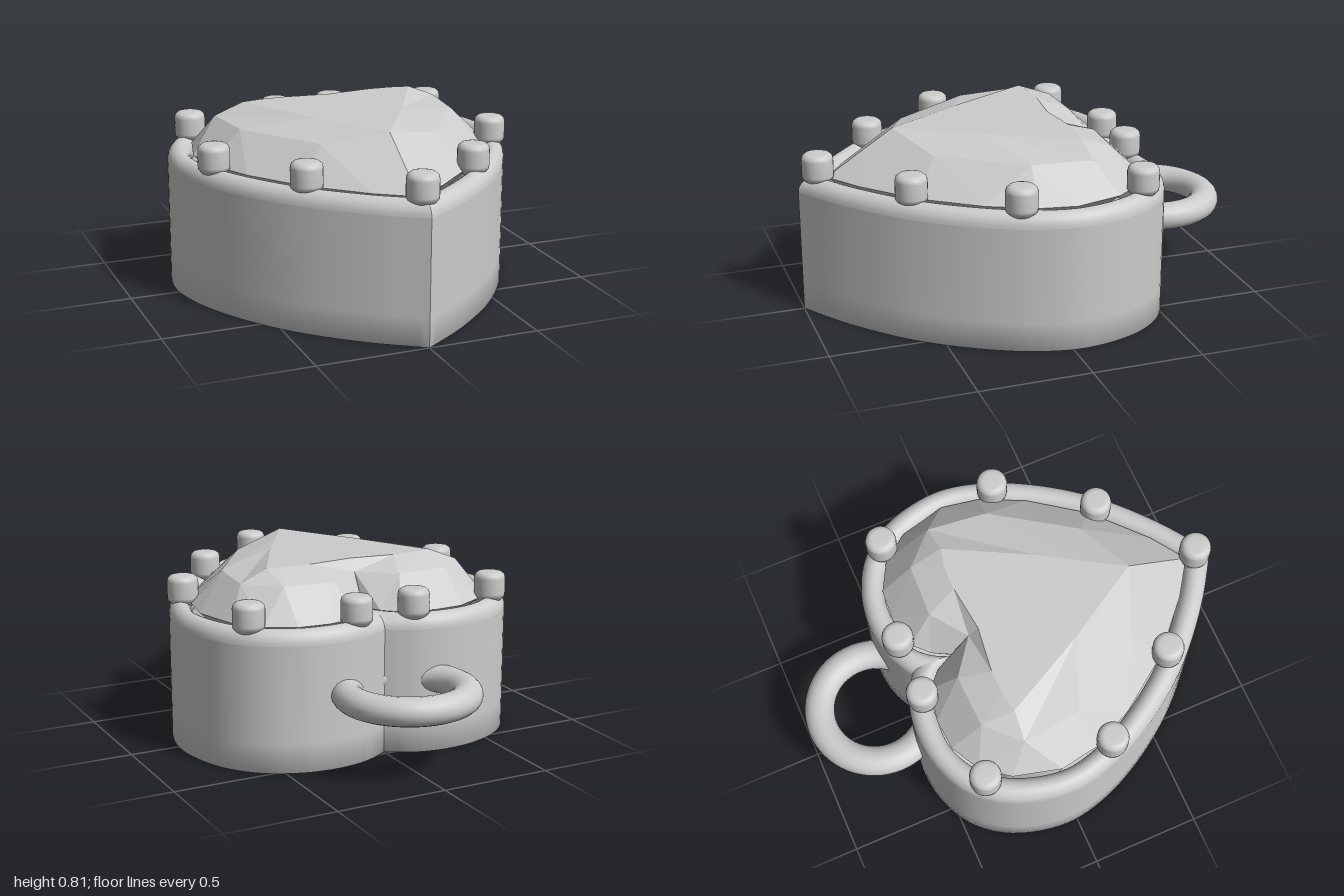
import * as THREE from 'three';
import { mergeVertices } from 'three/addons/utils/BufferGeometryUtils.js';

// Half hearts as [x, z], from the cleft round the lobe to the tip
const OUTER = [[0, -0.48], [0.06, -0.515], [0.14, -0.55], [0.27, -0.57], [0.43, -0.55], [0.60, -0.465], [0.72, -0.31],
  [0.78, -0.06], [0.745, 0.15], [0.64, 0.38], [0.46, 0.63], [0.22, 0.85], [0, 1]];
const INNER = [[0, -0.28], [0.04, -0.36], [0.11, -0.43], [0.26, -0.46], [0.40, -0.45], [0.53, -0.38], [0.62, -0.26],
  [0.675, -0.05], [0.645, 0.12], [0.55, 0.32], [0.38, 0.555], [0.155, 0.76], [0, 0.865]];
const OPENING = [[0, -0.13], [0.08, -0.135], [0.16, -0.17], [0.27, -0.24], [0.38, -0.27], [0.46, -0.24], [0.51, -0.16],
  [0.54, -0.02], [0.515, 0.09], [0.435, 0.25], [0.29, 0.45], [0.1, 0.62], [0, 0.695]];
// Gem table and crown, half outlines as [x, z]
const TABLE = [[0, -0.155], [0.21, -0.18], [0.32, -0.178], [0.41, -0.16], [0.21, 0.22], [0.1, 0.4], [0, 0.57]];
const CROWN = [[0, -0.2], [0.16, -0.32], [0.40, -0.31], [0.54, -0.17], [0.51, 0.1], [0.27, 0.46], [0, 0.71]];

const STEPS = 72;

const [outerCurve, innerCurve, openingCurve] = [OUTER, INNER, OPENING].map((pts) =>
  new THREE.CatmullRomCurve3(pts.map(([x, z]) => new THREE.Vector3(x, 0, z))));

// Point on the heart at t: k = 0 outer wall, 1 inner edge of the rim, 2 opening underneath
function heartPoint(t, k, y) {
  const p = k <= 1
    ? outerCurve.getPoint(t).lerp(innerCurve.getPoint(t), k)
    : innerCurve.getPoint(t).lerp(openingCurve.getPoint(t), k - 1);
  p.x = Math.max(0, p.x);
  p.y = y;
  return p;
}

// Sweeps a profile of [inset, y] along one half of the heart
function sweepHalf(profile, side) {
  const pos = [], index = [], n = STEPS + 1;
  for (const [k, y] of profile) {
    for (let i = 0; i <= STEPS; i++) {
      const p = heartPoint(i / STEPS, k, y);
      pos.push(p.x * side, p.y, p.z);
    }
  }
  for (let j = 0; j < profile.length - 1; j++) {
    for (let i = 0; i < STEPS; i++) {
      const a = j * n + i, b = a + 1, c = a + n, d = c + 1;
      if (side > 0) index.push(a, c, b, b, c, d);
      else index.push(a, b, c, b, d, c);
    }
  }
  const geo = new THREE.BufferGeometry();
  geo.setAttribute('position', new THREE.Float32BufferAttribute(pos, 3));
  geo.setIndex(index);
  geo.computeVertexNormals();
  return geo;
}

// One half of the faceted stone: table, crown and pointed underside
function gemHalf(side) {
  const pos = [];
  const tri = (a, b, c) => {
    for (const p of side > 0 ? [a, b, c] : [a, c, b]) pos.push(p.x * side, p.y, p.z);
  };
  const at = (pts, y) => pts.map(([x, z]) => new THREE.Vector3(x, y, z));
  const table = at(TABLE, 0.81);
  const crown = at(CROWN, 0.757);
  crown[6].y = 0.72;
  const girdle = OUTER.map((_, i) => heartPoint(i / (OUTER.length - 1), 0.95, 0.615));
  const centre = new THREE.Vector3(0, 0.81, 0.1);
  const apex = new THREE.Vector3(0, 0.03, 0.14);
  for (let i = 0; i < 6; i++) {
    const g = girdle.slice(2 * i, 2 * i + 3);
    tri(centre, table[i + 1], table[i]);
    tri(table[i], table[i + 1], crown[i]);
    tri(table[i + 1], crown[i + 1], crown[i]);
    tri(crown[i], g[1], g[0]);
    tri(crown[i], crown[i + 1], g[1]);
    tri(crown[i + 1], g[2], g[1]);
    tri(apex, g[0], g[1]);
    tri(apex, g[1], g[2]);
  }
  const geo = new THREE.BufferGeometry();
  geo.setAttribute('position', new THREE.Float32BufferAttribute(pos, 3));
  geo.computeVertexNormals(); // not indexed, so every facet is flat
  return geo;
}

export function createModel() {
  const model = new THREE.Group();
  model.name = 'heartPendant';
  const silver = new THREE.MeshStandardMaterial({ color: 0xcccccc, side: THREE.DoubleSide });
  silver.name = 'silverGrey';

  const add = (name, geo) => {
    const mesh = new THREE.Mesh(geo, silver);
    mesh.name = name;
    model.add(mesh);
    return mesh;
  };

  // Rounded rim profile
  const rim = [];
  for (let i = 0; i <= 14; i++) {
    const a = (i / 14) * Math.PI * 1.1;
    rim.push([0.5 - 0.5 * Math.cos(a), 0.56 + 0.064 * Math.sin(a)]);
  }

  // Heart setting and stone, mirrored halves
  for (const [label, side] of [['left', 1], ['right', -1]]) {
    add(label + 'Wall', sweepHalf([[0.55, 0], [0, 0], [0, 0.13], [0, 0.56]], side));
    add(label + 'Base', sweepHalf([[2, 0], [1, 0], [0.55, 0]], side));
    add(label + 'InnerWall', sweepHalf([[2, 0.48], [2, 0]], side));
    add(label + 'Rim', sweepHalf(rim, side));
    add(label + 'Gem', gemHalf(side));
  }

  // Prongs holding the stone
  const prongProfile = [[0, 0.585], [0.04, 0.59], [0.068, 0.62], [0.07, 0.635], [0.07, 0.705], [0.066, 0.72],
    [0.054, 0.73], [0.04, 0.733], [0, 0.733]].map(([x, y]) => new THREE.Vector2(x, y));
  const prongGeo = mergeVertices(new THREE.LatheGeometry(prongProfile, 28));
  for (const [x, z] of [[0, 0.91], [0.383, 0.592], [0.66, 0.195], [0.597, -0.378], [0.14, -0.483]]) {
    for (const side of x ? [1, -1] : [1]) add('prong', prongGeo).position.set(x * side, 0, z);
  }

  // Hanging loop at the back
  const loop = add('hangingLoop', new THREE.TorusGeometry(0.257, 0.068, 20, 64));
  loop.rotation.x = Math.PI / 2;
  loop.scale.z = 0.92;
  loop.position.set(0, 0.33, -0.675);

  return model;
}
